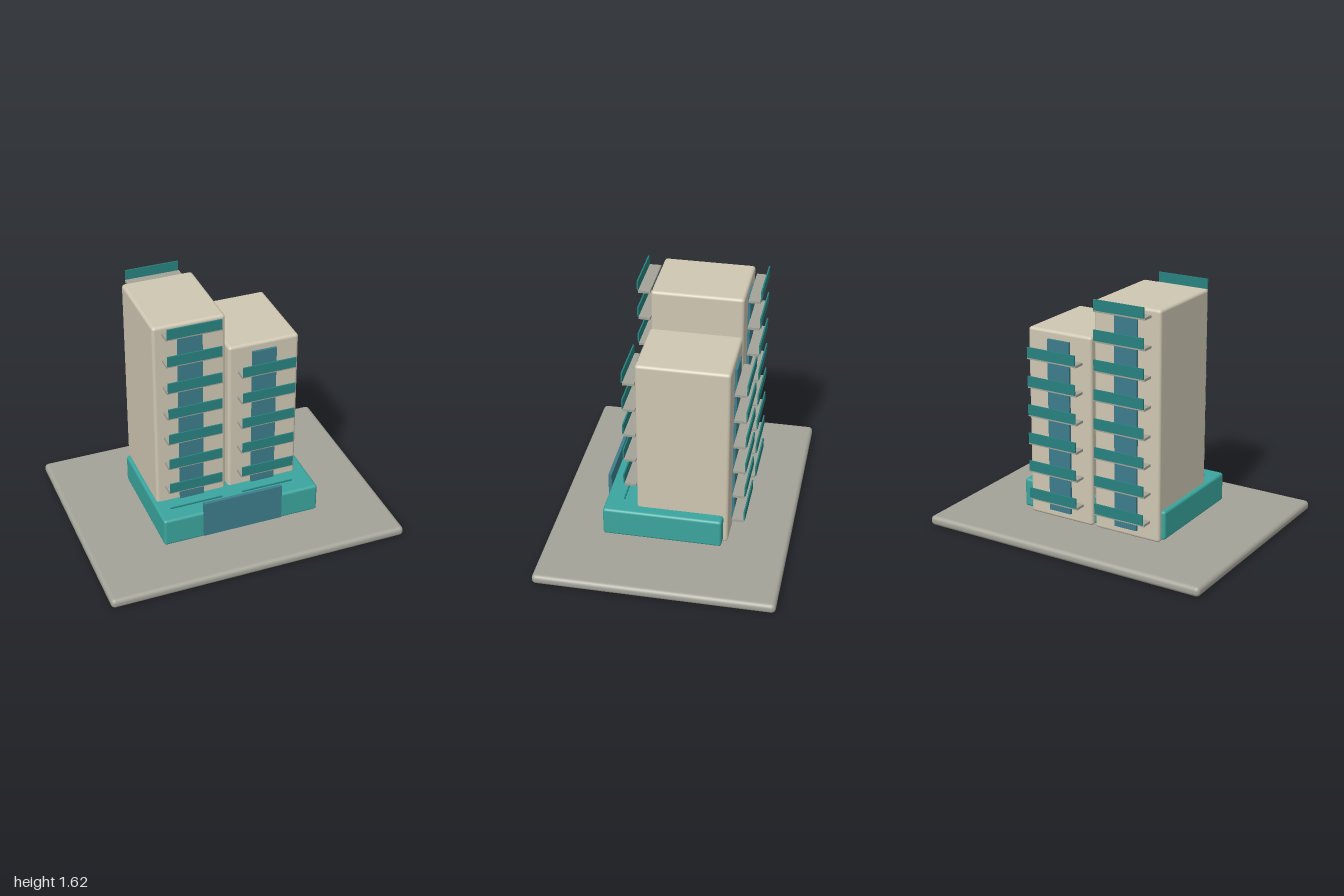
import * as THREE from 'three';
import { RoundedBoxGeometry } from 'three/addons/geometries/RoundedBoxGeometry.js';

const material = (name, color) => {
  const m = new THREE.MeshStandardMaterial({ color });
  m.name = name;
  return m;
};

// Box given by its [min, max] range on each axis; radius rounds the edges
function box(name, mat, [x0, x1], [y0, y1], [z0, z1], radius = 0) {
  const size = [x1 - x0, y1 - y0, z1 - z0];
  const geometry = radius
    ? new RoundedBoxGeometry(...size, 3, radius)
    : new THREE.BoxGeometry(...size);
  const mesh = new THREE.Mesh(geometry, mat);
  mesh.name = name;
  mesh.position.set((x0 + x1) / 2, (y0 + y1) / 2, (z0 + z1) / 2);
  return mesh;
}

export function createModel() {
  const plaster = material('cream plaster', 0xcfc7b3);
  const concrete = material('grey concrete', 0xa4a398);
  const teal = material('teal cladding', 0x3ba59e);
  const railing = material('dark teal railing', 0x27827f);
  const glass = material('blue glass', 0x3d7d8c);

  const model = new THREE.Group();
  model.name = 'towerBlocks';

  // Ground slab, podium and entrance screen
  model.add(box('ground', concrete, [-1, 1], [0, 0.065], [-0.77, 0.77], 0.028));
  model.add(box('podium', teal, [-0.53, 0.53], [0.094, 0.288], [-0.355, 0.416], 0.018));
  model.add(box('entranceScreen', glass, [-0.267, 0.267], [0.117, 0.37], [0.414, 0.436]));

  const front = 0.205, back = -0.385;
  const firstFloor = 0.222, floorHeight = 0.189;

  // Balcony slab and railing; side is +1 for the front and -1 for the back
  function balcony(x, y, side) {
    const group = new THREE.Group();
    group.name = side > 0 ? 'frontBalcony' : 'backBalcony';
    const wall = side > 0 ? front : back;
    const range = (a, b) => [wall + side * a, wall + side * b].sort((p, q) => p - q);
    group.add(box('balconySlab', concrete, [x - 0.181, x + 0.181], [y - 0.008, y + 0.008], range(0.016, 0.091)));
    group.add(box('balconyRailing', railing, [x - 0.176, x + 0.176], [y + 0.005, y + 0.073], range(0.091, 0.1)));
    return group;
  }

  // Tower with window strips and stacked balconies on both faces
  function tower(name, x, top, floors) {
    const group = new THREE.Group();
    group.name = name;
    group.add(box('towerBody', plaster, [x - 0.235, x + 0.235], [0.082, top], [back, front], 0.02));
    const strip = [x - 0.08, x + 0.08], height = [0.135, top - 0.054];
    group.add(box('frontWindowStrip', glass, strip, height, [front - 0.005, front + 0.016]));
    group.add(box('backWindowStrip', glass, strip, height, [back - 0.016, back + 0.005]));
    for (let i = 0; i < floors; i++) {
      for (const side of [1, -1]) group.add(balcony(x, firstFloor + i * floorHeight, side));
    }
    return group;
  }

  model.add(tower('tallTower', -0.27, 1.584, 8));
  model.add(tower('shortTower', 0.221, 1.34, 6));
  return model;
}
